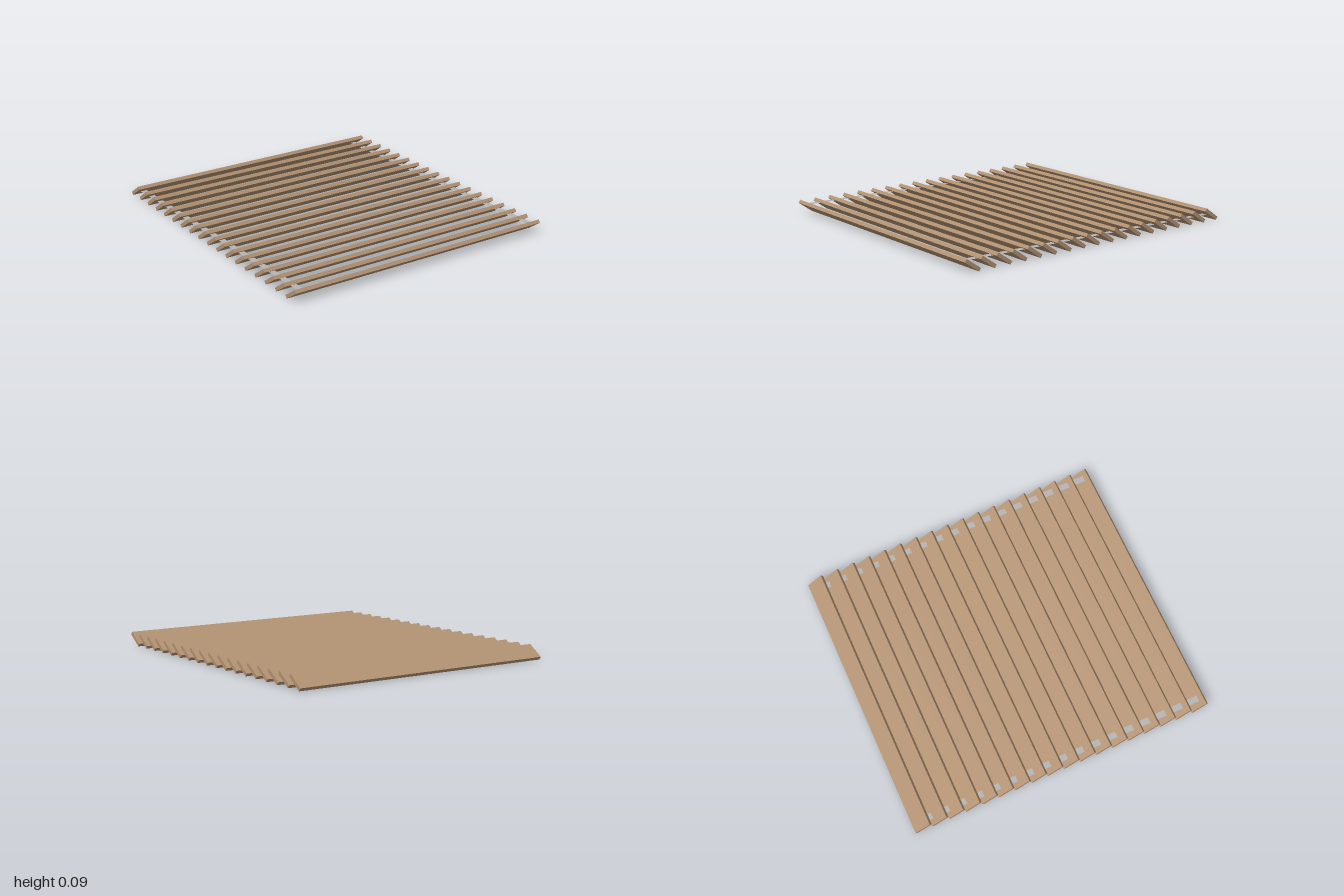
import * as THREE from 'three';

export function createModel() {
  const model = new THREE.Group();
  model.name = 'louvredSlats';

  const wood = new THREE.MeshStandardMaterial({ color: 0xb39272 });
  wood.name = 'tan wood';
  const tape = new THREE.MeshStandardMaterial({ color: 0xb4b4b4, side: THREE.DoubleSide });
  tape.name = 'grey tape';

  // Tilted slats, high edge to the front
  const count = 18, depth = 0.119, thick = 0.0225;
  const tilt = THREE.MathUtils.degToRad(35);
  const spanZ = depth * Math.cos(tilt) + thick * Math.sin(tilt);
  const spanY = depth * Math.sin(tilt) + thick * Math.cos(tilt);
  const pitch = (2 - spanZ) / (count - 1);
  const slatGeometry = new THREE.BoxGeometry(1.8, thick, depth);
  for (let i = 0; i < count; i++) {
    const slat = new THREE.Mesh(slatGeometry, wood);
    slat.name = `slat${i + 1}`;
    slat.position.set(0, spanY / 2, -1 + spanZ / 2 + i * pitch);
    slat.rotation.x = -tilt;
    model.add(slat);
  }

  // Flat tapes that tie the slats together, rising slightly to the front
  const tapeGeometry = new THREE.PlaneGeometry(0.04, 1.92).rotateX(-Math.PI / 2);
  for (const side of [-1, 1]) {
    const strip = new THREE.Mesh(tapeGeometry, tape);
    strip.name = side > 0 ? 'leftTape' : 'rightTape';
    strip.position.set(side * 0.844, 0.05, 0);
    strip.rotation.x = -THREE.MathUtils.degToRad(1);
    model.add(strip);
  }

  return model;
}
